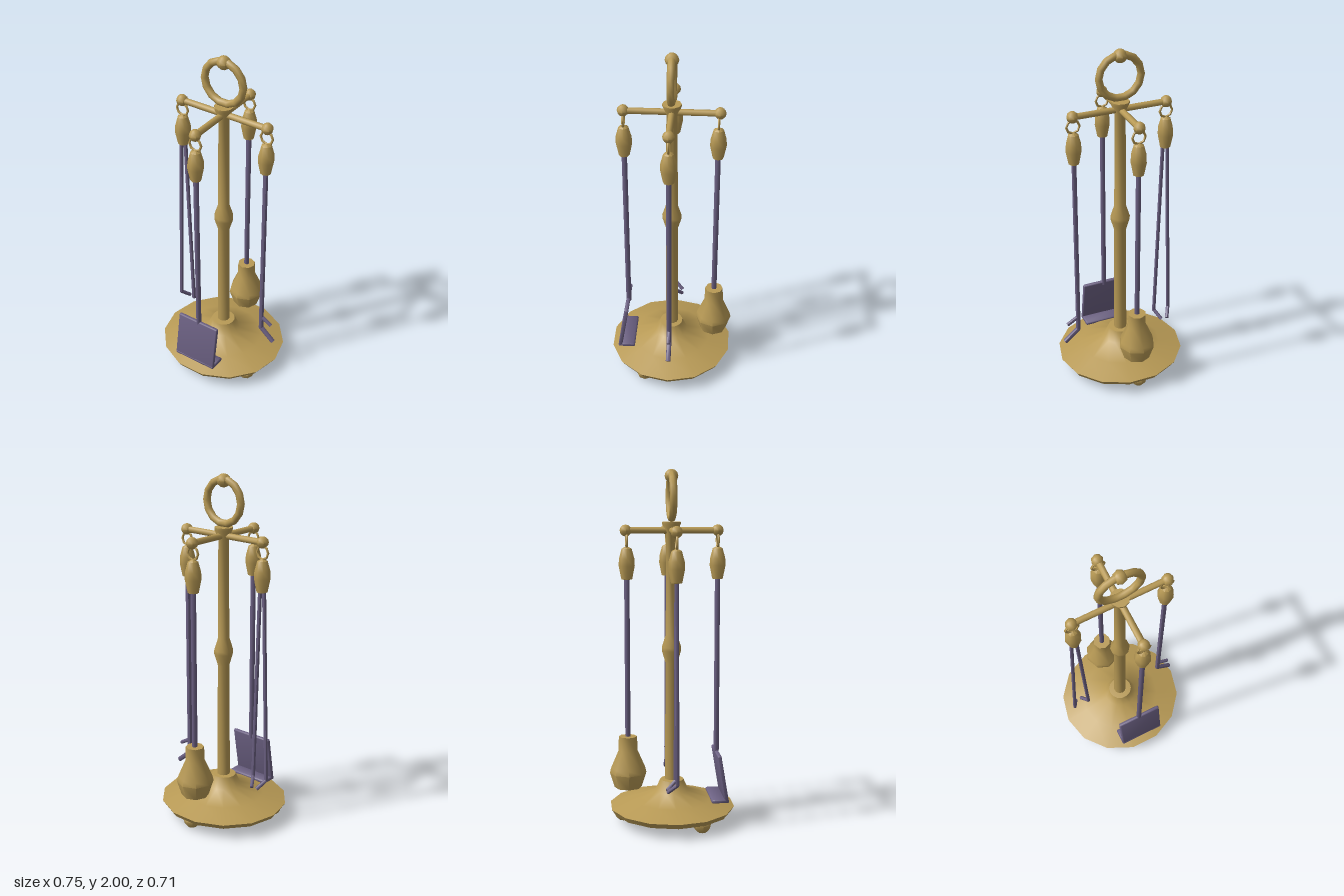
import * as THREE from 'three';
import { toCreasedNormals } from 'three/addons/utils/BufferGeometryUtils.js';
import { RoundedBoxGeometry } from 'three/addons/geometries/RoundedBoxGeometry.js';

const brass = new THREE.MeshStandardMaterial({ color: 0xb89a55 });
brass.name = 'brass';
const iron = new THREE.MeshStandardMaterial({ color: 0x6b6082 });
iron.name = 'purple iron';

function add(parent, name, geometry, material, x = 0, y = 0, z = 0) {
  const mesh = new THREE.Mesh(toCreasedNormals(geometry, 0.9), material);
  mesh.name = name;
  mesh.position.set(x, y, z);
  parent.add(mesh);
  return mesh;
}

// Turned part from [radius, height] pairs, bottom to top
function turned(profile, sides, start = 0) {
  return new THREE.LatheGeometry(profile.map(([r, y]) => new THREE.Vector2(r, y)), sides, start);
}

// Straight bars through a list of points, with small balls filling the bends
function bar(parent, name, points, radius, material) {
  const pts = points.map((p) => new THREE.Vector3(...p));
  for (let i = 0; i < pts.length - 1; i++) {
    const dir = pts[i + 1].clone().sub(pts[i]);
    const mid = pts[i].clone().add(pts[i + 1]).multiplyScalar(0.5);
    const mesh = add(parent, name, new THREE.CylinderGeometry(radius, radius, dir.length(), 8), material, mid.x, mid.y, mid.z);
    mesh.quaternion.setFromUnitVectors(new THREE.Vector3(0, 1, 0), dir.normalize());
    if (i > 0) add(parent, name + 'Bend', new THREE.SphereGeometry(radius, 8, 6), material, pts[i].x, pts[i].y, pts[i].z);
  }
}

function ball(parent, name, r, x, y, z) {
  return add(parent, name, new THREE.SphereGeometry(r, 8, 6), brass, x, y, z);
}

// Hanging ring and turned handle shared by all four tools
function tool(parent, name, x, z) {
  const group = new THREE.Group();
  group.name = name;
  group.position.set(x, 0, z);
  add(group, 'hangingRing', new THREE.TorusGeometry(0.037, 0.007, 6, 8), brass, 0, 1.61, 0);
  add(group, 'handle', turned([[0, 1.39], [0.03, 1.395], [0.045, 1.47], [0.043, 1.51], [0.028, 1.565], [0, 1.58]], 8), brass);
  parent.add(group);
  return group;
}

export function createModel() {
  const model = new THREE.Group();
  model.name = 'fireplaceToolSet';

  // Base and feet
  const base = add(model, 'base', turned([
    [0, 0.06], [0.355, 0.06], [0.375, 0.09], [0.24, 0.13], [0.1, 0.175], [0.07, 0.24], [0, 0.245],
  ], 14, Math.PI / 2), brass, 0, 0, 0.003);
  base.scale.z = 0.96;
  for (const [x, z] of [[-0.26, 0.145], [0.26, 0.145], [0, -0.28]]) ball(model, 'foot', 0.05, x, 0.05, z);

  // Post with central knop and flared cap
  add(model, 'post', turned([
    [0.038, 0.22], [0.034, 0.92], [0.055, 0.99], [0.055, 1.01], [0.033, 1.08],
    [0.03, 1.65], [0.052, 1.7], [0.052, 1.712], [0, 1.712],
  ], 10), brass);

  // Carrying ring
  add(model, 'carryingRing', new THREE.TorusGeometry(0.12, 0.021, 8, 14), brass, 0, 1.85, 0);
  ball(model, 'ringBall', 0.038, 0, 1.963, 0);

  // Crossed arms with ball ends
  bar(model, 'sideArm', [[-0.27, 1.665, 0], [0.27, 1.665, 0]], 0.018, brass);
  bar(model, 'frontBackArm', [[0, 1.665, -0.255], [0, 1.665, 0.26]], 0.018, brass);
  for (const [x, z] of [[-0.27, 0], [0.27, 0], [0, -0.255], [0, 0.26]]) ball(model, 'armBall', 0.033, x, 1.665, z);

  // Shovel
  const shovel = tool(model, 'shovel', 0, 0.26);
  bar(shovel, 'shovelRod', [[0, 1.4, 0], [0, 0.38, 0]], 0.015, iron);
  const blade = add(shovel, 'shovelBlade', new RoundedBoxGeometry(0.27, 0.28, 0.022, 2, 0.01), iron, 0, 0.265, 0.023);
  blade.rotation.x = -0.165;
  add(shovel, 'shovelLip', new RoundedBoxGeometry(0.27, 0.02, 0.1, 2, 0.009), iron, 0, 0.134, 0.007);

  // Poker
  const poker = tool(model, 'poker', 0.268, 0);
  bar(poker, 'pokerRod', [[0, 1.4, 0], [0, 0.295, 0], [0.085, 0.222, 0]], 0.014, iron);
  bar(poker, 'pokerHook', [[0, 0.38, 0], [0.068, 0.34, 0]], 0.011, iron);

  // Tongs
  const tongs = tool(model, 'tongs', -0.27, 0);
  for (const s of [-1, 1]) {
    bar(tongs, 'tongArm', [[s * 0.014, 1.4, 0], [s * 0.047, 0.295, 0], [s * 0.018, 0.248, -0.05]], 0.011, iron);
  }

  // Brush
  const brush = tool(model, 'brush', 0, -0.25);
  bar(brush, 'brushRod', [[0, 1.4, 0], [0, 0.45, 0]], 0.015, iron);
  add(brush, 'brushHead', turned([
    [0, 0.195], [0.078, 0.2], [0.105, 0.285], [0.098, 0.315], [0.055, 0.415], [0.052, 0.498], [0, 0.498],
  ], 8), brass);

  return model;
}
